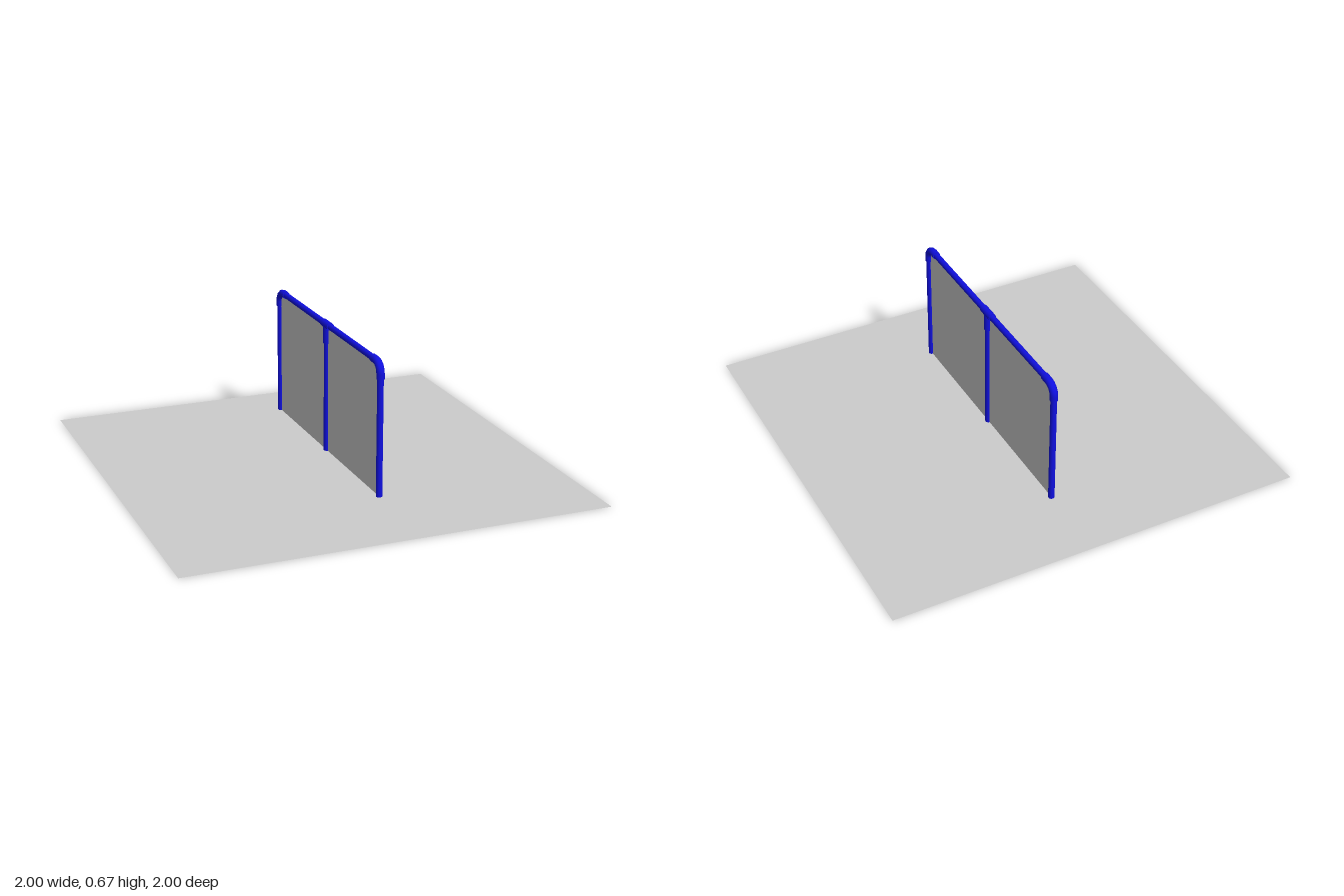
import * as THREE from 'three';

export function createModel() {
  const model = new THREE.Group();
  const grey = new THREE.MeshStandardMaterial({ color: 0xcccccc, side: THREE.DoubleSide });
  grey.name = 'light grey';
  const blue = new THREE.MeshStandardMaterial({ color: 0x1010e0 });
  blue.name = 'blue';

  const X = 0.058, BASE = 0.035, TOP = 0.656;
  const FRONT = 0.588, BACK = -0.652, MID = (FRONT + BACK) / 2;
  const PIPE = 0.0145, FITTING = 0.0185, BEND = 0.05;

  const add = (name, geometry, material, parent = model) => {
    const mesh = new THREE.Mesh(geometry, material);
    mesh.name = name;
    parent.add(mesh);
    return mesh;
  };

  // Capped pipe, upright from y0 to y1
  const upright = (name, z, y0, y1, r, parent) =>
    add(name, new THREE.CylinderGeometry(r, r, y1 - y0, 12), blue, parent)
      .position.set(X, (y0 + y1) / 2, z);

  // Capped pipe along z at the rail height
  const level = (name, z0, z1, r, parent) => {
    const pipe = add(name, new THREE.CylinderGeometry(r, r, Math.abs(z1 - z0), 12), blue, parent);
    pipe.rotation.x = Math.PI / 2;
    pipe.position.set(X, TOP, (z0 + z1) / 2);
  };

  // Ground sheet
  add('ground', new THREE.PlaneGeometry(2, 2).rotateX(-Math.PI / 2), grey);

  // Two thin infill panels
  for (const [name, z0, z1] of [['frontPanel', FRONT, MID], ['backPanel', MID, BACK]]) {
    add(name, new THREE.PlaneGeometry(z0 - z1, TOP - BASE).rotateY(Math.PI / 2), grey)
      .position.set(X, (TOP + BASE) / 2, (z0 + z1) / 2);
  }

  // Posts and top rail
  upright('frontPost', FRONT, BASE, TOP - BEND, PIPE);
  upright('middlePost', MID, BASE, TOP, PIPE);
  upright('backPost', BACK, BASE, TOP - BEND, PIPE);
  level('topRail', FRONT - BEND, BACK + BEND, PIPE);

  // Corner elbows: two sleeves joined by a segmented quarter bend
  for (const [name, z, inward] of [['frontElbow', FRONT, -1], ['backElbow', BACK, 1]]) {
    const elbow = new THREE.Group();
    elbow.name = name;
    model.add(elbow);
    upright('elbowLowerSleeve', z, 0.583, TOP - BEND, FITTING, elbow);
    level('elbowRailSleeve', z + inward * BEND, z + inward * 0.085, FITTING, elbow);
    const bend = add('elbowBend',
      new THREE.TorusGeometry(BEND, FITTING, 12, 4, Math.PI / 2), blue, elbow);
    bend.rotation.y = inward < 0 ? -Math.PI / 2 : Math.PI / 2;
    bend.position.set(X, TOP - BEND, z + inward * BEND);
  }

  // Tee fitting on the middle post
  const tee = new THREE.Group();
  tee.name = 'middleTee';
  model.add(tee);
  upright('teeSleeve', MID, 0.568, TOP, FITTING, tee);
  level('teeRailSleeve', MID + 0.043, MID - 0.043, FITTING, tee);

  return model;
}
